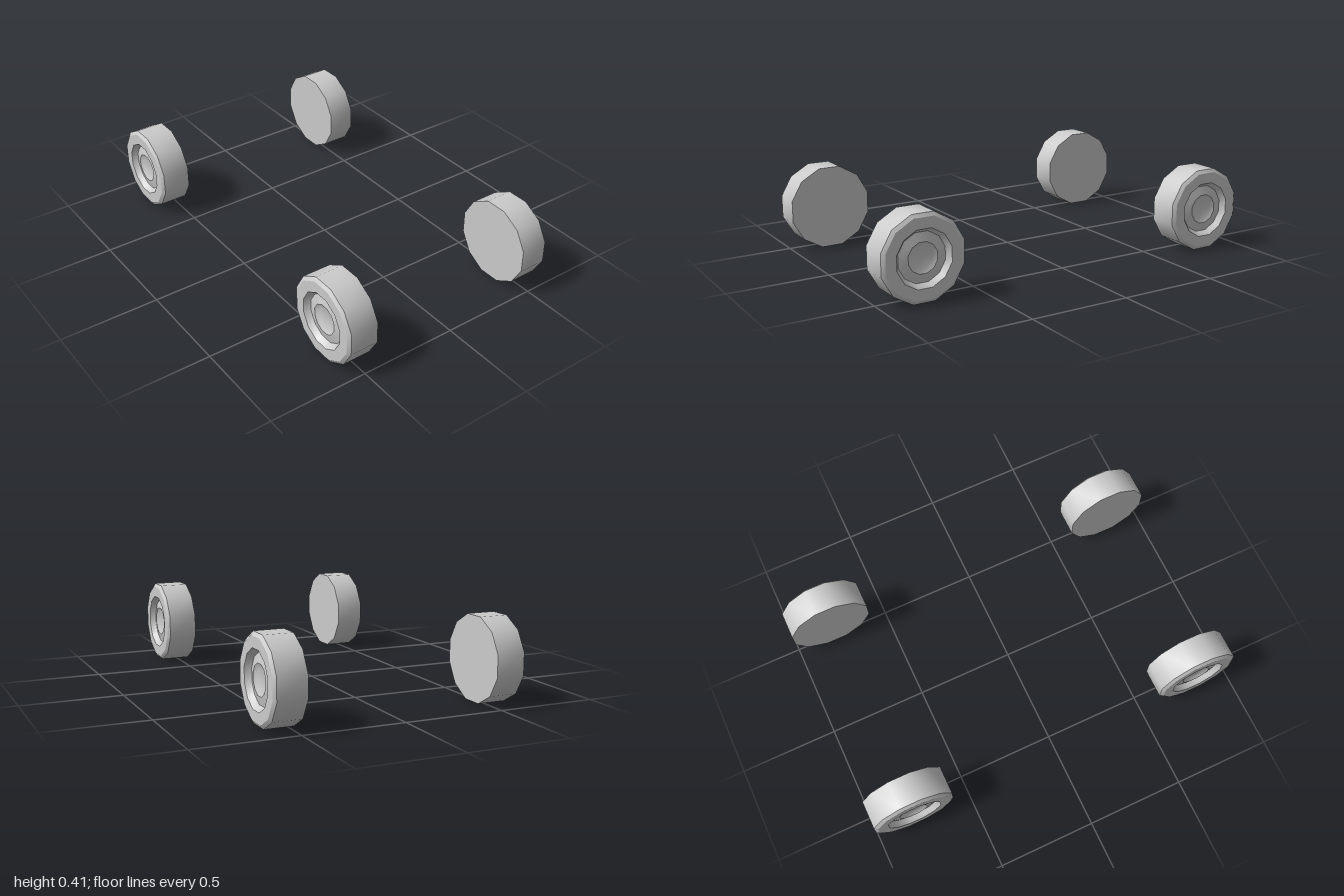
import * as THREE from 'three';
import { toCreasedNormals } from 'three/addons/utils/BufferGeometryUtils.js';

const SIDES = 12;
const RADIUS = 0.2136; // corner radius of the 12-sided tyre
const AXLE_Y = RADIUS * Math.cos(Math.PI / SIDES);

// Wheel turned from [radius, distance outward from the inner face]
function wheelGeometry() {
  const profile = [
    [0, 0], [RADIUS, 0],                // flat inner face
    [RADIUS, 0.143], [0.196, 0.155],    // tread and outer bevel
    [0.141, 0.155], [0.121, 0.127],     // sidewall and rim recess
    [0.075, 0.138], [0.053, 0.127],     // dish rising to the hub, hub recess
    [0, 0.132],                         // centre cap
  ].map(([r, d]) => new THREE.Vector2(r, d));
  // Half-step start puts a flat at the bottom
  const lathe = new THREE.LatheGeometry(profile, SIDES, Math.PI / SIDES);
  lathe.rotateZ(-Math.PI / 2);
  return toCreasedNormals(lathe, 0.61);
}

export function createModel() {
  const model = new THREE.Group();
  model.name = 'wheelSet';
  const material = new THREE.MeshStandardMaterial({ color: 0xcccccc });
  const geometry = wheelGeometry();

  // The rear track is slightly wider than the front
  const axles = [
    { name: 'front', z: 0.794, inner: 0.436 },
    { name: 'rear', z: -0.794, inner: 0.47 },
  ];
  for (const axle of axles) {
    for (const side of [1, -1]) {
      const wheel = new THREE.Mesh(geometry, material);
      wheel.name = axle.name + (side > 0 ? 'Left' : 'Right') + 'Wheel';
      wheel.position.set(side * axle.inner, AXLE_Y, axle.z);
      if (side < 0) wheel.rotation.y = Math.PI;
      model.add(wheel);
    }
  }
  return model;
}
